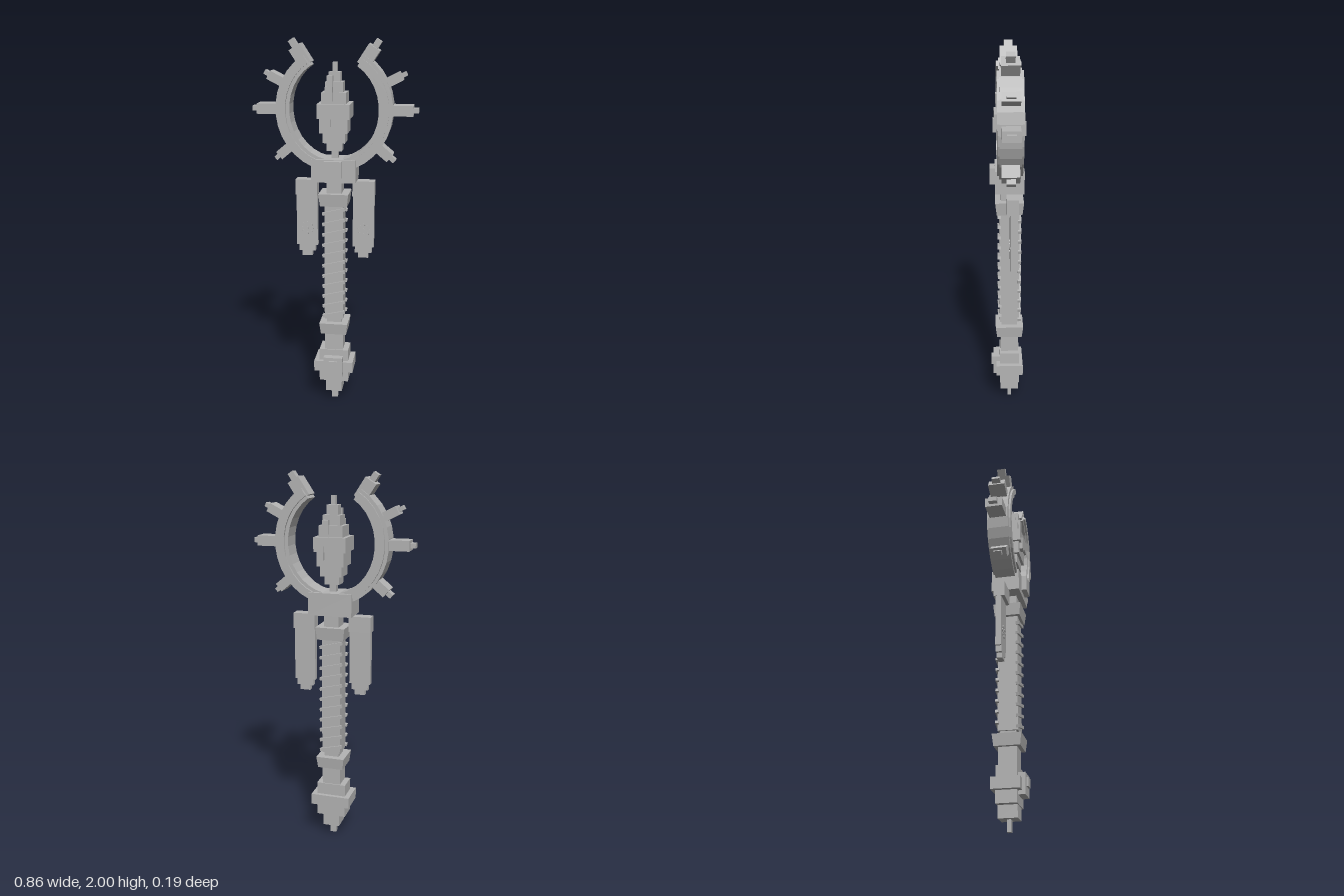
import * as THREE from 'three';

export function createModel() {
  const stone = new THREE.MeshStandardMaterial({ color: 0xb4b4b4 });
  stone.name = 'plain grey';
  const model = new THREE.Group();
  model.name = 'sceptre';
  const staff = new THREE.Group();
  staff.name = 'staff';
  staff.position.set(0, 0, -0.008);
  model.add(staff);

  function add(name, geometry, x = 0, y = 0, z = 0, parent = staff) {
    const mesh = new THREE.Mesh(geometry, stone);
    mesh.name = name;
    mesh.position.set(x, y, z);
    parent.add(mesh);
    return mesh;
  }
  // Box given by its bottom and top heights
  const block = (name, w, y0, y1, d, x = 0, z = 0, parent = staff) =>
    add(name, new THREE.BoxGeometry(w, y1 - y0, d), x, (y0 + y1) / 2, z, parent);

  // Box that widens towards the top
  function flared(name, w, y0, y1, d) {
    const mesh = block(name, w, y0, y1, d);
    const p = mesh.geometry.attributes.position;
    for (let i = 0; i < p.count; i++) {
      if (p.getY(i) < 0) p.setXYZ(i, p.getX(i) * 0.9, p.getY(i), p.getZ(i) * 0.9);
    }
    mesh.geometry.computeVertexNormals();
    return mesh;
  }

  // Pommel
  block('pommelTip', 0.034, 0, 0.06, 0.02);
  block('pommelPoint', 0.09, 0.06, 0.125, 0.1);
  block('pommelCore', 0.16, 0.125, 0.315, 0.108);
  block('pommelBand', 0.215, 0.19, 0.25, 0.148);
  block('pommelGemFrame', 0.105, 0.17, 0.28, 0.06, 0, 0.06);
  block('pommelGem', 0.048, 0.215, 0.262, 0.04, 0, 0.08);

  // Shaft, collars and grip
  block('lowerShaft', 0.1, 0.315, 0.415, 0.096);
  flared('lowerCollar', 0.155, 0.415, 0.478, 0.152);
  block('lowerNeck', 0.08, 0.478, 0.5, 0.085);
  block('grip', 0.1, 0.5, 1.14, 0.106);
  flared('upperCollar', 0.158, 1.14, 1.207, 0.15);
  block('upperNeck', 0.08, 1.207, 1.27, 0.09);

  // Slanted wraps on the front and back of the grip
  const wrap = new THREE.BoxGeometry(0.124, 0.016, 0.018);
  for (const side of [1, -1]) {
    for (let i = 0; i < 11; i++) {
      add('gripWrap', wrap, 0, 0.53 + i * 0.058, side * 0.054).rotation.z = side * 0.24;
    }
  }

  // Head block with gem
  block('head', 0.233, 1.27, 1.39, 0.15);
  block('headGem', 0.09, 1.3, 1.386, 0.05, 0, 0.078);

  // Open oval ring: main band and a deeper raised rib
  const ringY = 1.643;
  function ovalBand(name, outX, outY, inX, inY, depth) {
    const shape = new THREE.Shape();
    const steps = 28, from = THREE.MathUtils.degToRad(121), sweep = THREE.MathUtils.degToRad(298);
    for (let i = 0; i <= steps; i++) {
      const a = from + sweep * i / steps;
      if (i) shape.lineTo(outX * Math.cos(a), outY * Math.sin(a));
      else shape.moveTo(outX * Math.cos(a), outY * Math.sin(a));
    }
    for (let i = steps; i >= 0; i--) {
      const a = from + sweep * i / steps;
      shape.lineTo(inX * Math.cos(a), inY * Math.sin(a));
    }
    const geometry = new THREE.ExtrudeGeometry(shape, { depth, bevelEnabled: false });
    add(name, geometry, 0, ringY, -depth / 2);
  }
  ovalBand('ring', 0.302, 0.318, 0.23, 0.258, 0.108);
  ovalBand('ringRib', 0.283, 0.302, 0.25, 0.274, 0.13);

  // Rays: angle, inner radius, block end, tip end, width
  const rays = [
    [0, 0.28, 0.403, 0.43, 0.053],
    [27, 0.28, 0.38, 0.408, 0.046],
    [57, 0.265, 0.372, 0.413, 0.066],
    [-40, 0.28, 0.378, 0.408, 0.05],
  ];
  for (const side of [1, -1]) {
    for (const [angle, r0, r1, r2, width] of rays) {
      const ray = new THREE.Group();
      ray.name = side > 0 ? 'leftRay' : 'rightRay';
      ray.position.y = ringY;
      ray.rotation.z = THREE.MathUtils.degToRad(side > 0 ? angle : 180 - angle);
      staff.add(ray);
      add('rayBlock', new THREE.BoxGeometry(r1 - r0, width, 0.09), (r0 + r1) / 2, 0, 0, ray);
      add('rayTip', new THREE.BoxGeometry(r2 - r1 + 0.01, width * 0.48, 0.045), (r1 + r2 - 0.01) / 2, 0, 0, ray);
    }
  }

  // Stepped crystal: bottom height and width of each tier
  const tiers = [
    [1.385, 0.035], [1.43, 0.08], [1.473, 0.115], [1.526, 0.145], [1.6, 0.17],
    [1.675, 0.128], [1.732, 0.092], [1.784, 0.06], [1.833, 0.024], [1.88, 0],
  ];
  for (let i = 0; i < tiers.length - 1; i++) {
    block('crystalTier', tiers[i][1], tiers[i][0], tiers[i + 1][0], tiers[i][1] * 0.92);
  }
  // Small chips standing out of the crystal
  const chips = [
    [0.045, 1.56, -0.07, 0.03], [-0.035, 1.56, 0.07, 0.04], [-0.025, 1.69, 0.055, 0.04],
    [0.025, 1.69, -0.055, 0.03], [-0.02, 1.745, 0.04, 0.03],
  ];
  for (const [x, y, z, w] of chips) block('crystalChip', w, y, y + 0.07, 0.03, x, z);

  // Hanging banners with stepped lower ends and a flower of small studs
  const half = [[0.057, 1.2], [0.057, 0.905], [0.045, 0.905], [0.045, 0.872], [0.028, 0.872], [0.028, 0.845]];
  const outline = [...half, ...half.map(([x, y]) => [-x, y]).reverse()]
    .map(([x, y]) => new THREE.Vector2(x, y));
  const cloth = new THREE.ExtrudeGeometry(new THREE.Shape(outline), { depth: 0.03, bevelEnabled: false });
  const stud = new THREE.CylinderGeometry(0.009, 0.009, 0.006, 6);
  stud.rotateX(Math.PI / 2);
  for (const side of [1, -1]) {
    const banner = new THREE.Group();
    banner.name = side > 0 ? 'leftBanner' : 'rightBanner';
    banner.position.set(side * 0.152, 0, -0.012);
    staff.add(banner);
    block('bannerBar', 0.117, 1.187, 1.27, 0.06, 0, 0, banner);
    add('bannerCloth', cloth, 0, 0, -0.018, banner);
    add('flowerCentre', stud, 0, 1.0, 0.014, banner);
    for (let i = 0; i < 8; i++) {
      const a = i * Math.PI / 4;
      add('flowerPetal', stud, 0.028 * Math.cos(a), 1.0 + 0.028 * Math.sin(a), 0.014, banner);
    }
  }
  return model;
}
